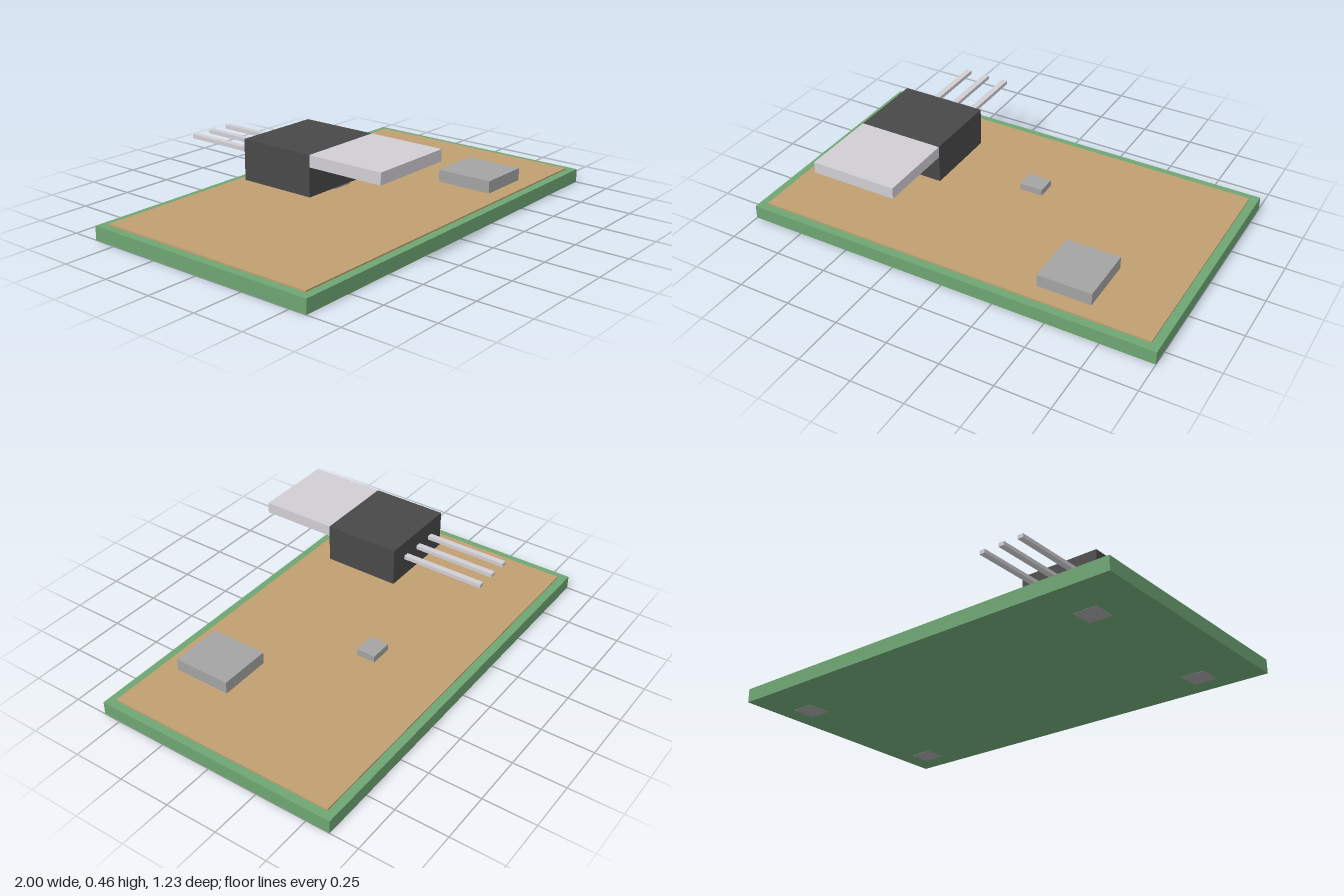
import * as THREE from 'three';

const mat = (color) => new THREE.MeshStandardMaterial({ color });

// Box given by its extents along each axis
function block(name, material, [x0, x1], [y0, y1], [z0, z1]) {
  const mesh = new THREE.Mesh(new THREE.BoxGeometry(x1 - x0, y1 - y0, z1 - z0), material);
  mesh.name = name;
  mesh.position.set((x0 + x1) / 2, (y0 + y1) / 2, (z0 + z1) / 2);
  return mesh;
}

export function createModel() {
  const model = new THREE.Group();
  model.name = 'circuitBoard';

  const green = mat(0x6ea573);
  const copper = mat(0xc09f70);
  const grey = mat(0xa3a3a3);
  const silver = mat(0xd0ced3);
  const black = mat(0x484848);

  // Board with its copper layer
  model.add(block('board', green, [-1, 1], [0.001, 0.066], [-0.615, 0.585]));
  model.add(block('copperLayer', copper, [-0.96, 0.96], [0.066, 0.073], [-0.575, 0.545]));

  // Flush square pads on the underside
  for (const x of [-0.8, 0.8]) {
    for (const z of [-0.415, 0.385]) {
      model.add(block('undersidePad', grey, [x, x + 0.11], [0, 0.03], [z, z + 0.11]));
    }
  }

  // Surface-mounted components
  model.add(block('largeChip', grey, [0.4, 0.656], [0.073, 0.132], [0.185, 0.465]));
  model.add(block('smallChip', grey, [0, 0.112], [0.073, 0.105], [-0.215, -0.122]));

  // Raised transistor: body, heat-sink tab and three leads
  const transistor = new THREE.Group();
  transistor.name = 'transistor';
  transistor.add(block('transistorBody', black, [-0.6, -0.2], [0.277, 0.456], [-0.105, 0.254]));
  transistor.add(block('heatSinkTab', silver, [-0.6, -0.2], [0.404, 0.456], [0.254, 0.615]));
  for (const x of [-0.503, -0.403, -0.301]) {
    transistor.add(block('lead', silver, [x - 0.014, x + 0.014], [0.366, 0.384], [-0.505, -0.105]));
  }
  model.add(transistor);

  return model;
}
